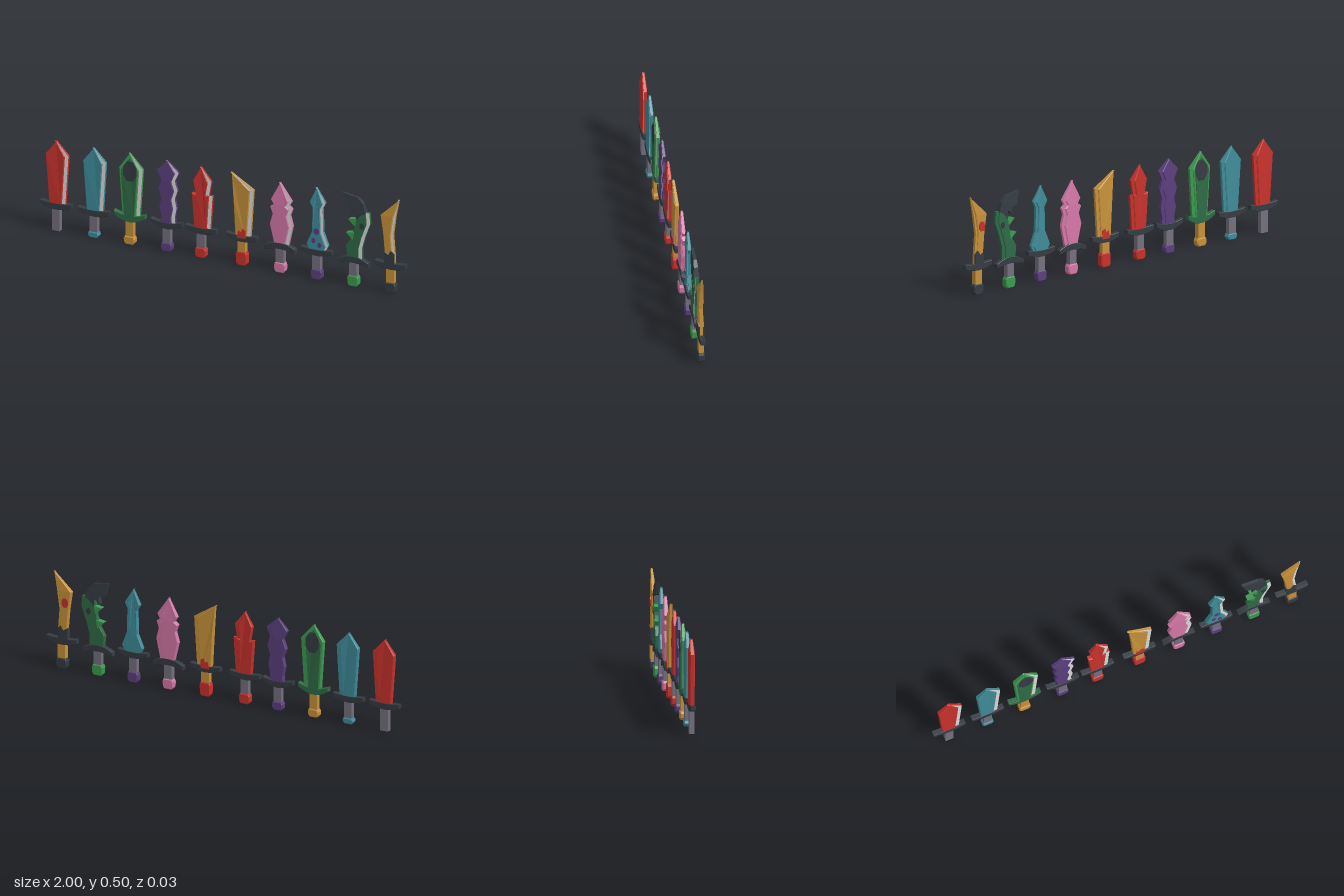
import * as THREE from 'three';

const mat = (name, color) => Object.assign(new THREE.MeshStandardMaterial({ color }), { name });
const M = {
  red: mat('red', 0xc8322c), teal: mat('teal', 0x3f8c99), green: mat('dark green', 0x2f6b45),
  lime: mat('bright green', 0x3c9a50), purple: mat('purple', 0x5a3f7d), gold: mat('gold', 0xc8923a),
  pink: mat('pink', 0xd678a8), dark: mat('charcoal', 0x343b42), grey: mat('grey', 0x74707e),
  white: mat('edge white', 0xdcdcdc),
};

const U = 0.01; // outlines are written in hundredths
const toShape = (pts) => new THREE.Shape(pts.map(([x, y]) => new THREE.Vector2(x * U, y * U)));

// Thin the blade towards its point
function taper(geo) {
  const p = geo.attributes.position;
  for (let i = 0; i < p.count; i++) {
    const t = Math.max(0, (p.getY(i) - 0.41) / 0.1);
    p.setZ(i, p.getZ(i) * (1 - 0.65 * t));
  }
  geo.computeVertexNormals();
  return geo;
}

// Plate of half thickness h, centred on z = 0, with an optional chamfer
function plate(name, pts, h, material, chamfer = 0) {
  const depth = 2 * (h - chamfer);
  const geo = new THREE.ExtrudeGeometry(toShape(pts), {
    depth, bevelEnabled: chamfer > 0, bevelSegments: 1,
    bevelThickness: chamfer, bevelSize: chamfer, bevelOffset: -chamfer,
  });
  geo.translate(0, 0, -depth / 2);
  const mesh = new THREE.Mesh(taper(geo), material);
  mesh.name = name;
  return mesh;
}

// Thin painted patch on one face of the blade (side 1 = front, -1 = back)
function patch(name, pts, side, material, lift = 0) {
  const geo = new THREE.ExtrudeGeometry(toShape(pts), { depth: 0.003, bevelEnabled: false });
  geo.translate(0, 0, side * (0.014 + lift) - 0.0015);
  const mesh = new THREE.Mesh(taper(geo), material);
  mesh.name = name;
  return mesh;
}

const blob = (x, y, rx, ry, n = 8) => Array.from({ length: n }, (_, i) => {
  const a = ((i + 0.5) / n) * Math.PI * 2;
  return [x + rx * Math.cos(a), y + ry * Math.sin(a)];
});

// Half profile [half width, height] from base to point, mirrored; the right side is slimmer
const mirror = (half, slim = 0.84) => ({
  left: half.map(([x, y]) => [-x, y]),
  right: half.filter(([x]) => x > 0).reverse().map(([x, y]) => [x * slim, y]),
});

// Crossguard bar whose ends rise (or droop) along a parabola and grow thinner
function crossguard(y, rise, material) {
  const side = (s) => Array.from({ length: 9 }, (_, i) => {
    const t = i / 4 - 1;
    return [8.5 * t, y + rise * t * t + s * (1.7 - 0.6 * t * t)];
  });
  return plate('crossguard', [...side(1), ...side(-1).reverse()], 0.0135, material, 0.002);
}

// One sword: left runs from base to point, right from below the point to base
function buildSword(name, x, color, { left, right }, o = {}) {
  const g = new THREE.Group();
  g.name = name;
  g.position.x = x;
  const { edge = 1.9, chamfer = 0.004, guardY = 14.6, rise = 1.2, guard = 'dark', grip = 'grey', pommel, pommelH } = o;

  // Blade body
  g.add(plate('blade', [...left, ...right], 0.0125, M[color], chamfer));

  // Thinner cutting edge along the right side, whitened on its front
  const tip = left[left.length - 1];
  const inner = [tip, ...right].map(([px, py]) => [px - 0.7, py]);
  const outer = [tip, ...right.map(([px, py]) => [px + edge, py + 0.4])];
  const strip = [...inner, ...outer.reverse()];
  g.add(plate('cuttingEdge', strip, 0.007, M[color]));
  const face = new THREE.Mesh(taper(new THREE.ShapeGeometry(toShape(strip)).translate(0, 0, 0.0078)), M.white);
  face.name = 'whiteEdge';
  g.add(face);

  // Crossguard and grip
  g.add(crossguard(guardY, rise, M[guard]));
  const base = pommel ? 2 : 0.5;
  const handle = new THREE.Mesh(new THREE.BoxGeometry(0.043, (guardY - base) * U, 0.025), M[grip]);
  handle.name = 'grip';
  handle.position.y = ((guardY + base) / 2) * U;
  g.add(handle);

  // Pommel, narrowed at the top and bottom
  if (pommel) {
    const t = 0.8 + pommelH;
    const p = mirror([[2, 0.6], [2.9, 1.8], [3, t - 1.2], [2.4, t]], 1);
    g.add(plate('pommel', [...p.left, ...p.right], 0.017, M[pommel], 0.004));
  }
  return g;
}

export function createModel() {
  const model = new THREE.Group();
  model.name = 'swordRow';
  const add = (...args) => {
    const sword = buildSword(...args);
    model.add(sword);
    return sword;
  };
  const bothSides = (sword, name, pts, material, lift) =>
    [1, -1].forEach((side) => sword.add(patch(name, pts, side, material, lift)));

  // Plain broadswords
  const broad = [[3.7, 14], [5.7, 40.4], [0, 47.8]];
  add('redBroadsword', -0.915, 'red', mirror(broad), { guardY: 13.3 });
  add('tealBroadsword', -0.71, 'teal', mirror(broad), { guardY: 13.3, pommel: 'teal', pommelH: 2.8 });

  // Green broadsword with a darker field and a charcoal patch
  const green = add('greenBroadsword', -0.513, 'lime', mirror([[3.8, 14], [5.7, 40.5], [0, 48.6]], 0.92),
    { guardY: 13.9, rise: 2.4, guard: 'green', grip: 'gold', pommel: 'gold', pommelH: 4 });
  const field = mirror([[2.7, 15], [4.4, 39.5], [0, 46]], 0.95);
  bothSides(green, 'bladeField', [...field.left, ...field.right], M.green);
  bothSides(green, 'darkPatch', blob(0.4, 39.3, 4, 5.6), M.dark, 0.001);

  // Purple blade with scalloped sides
  const waves = Array.from({ length: 7 }, (_, i) => [i % 2 ? 3 : 3.5 + 0.33 * i, 14 + 4.75 * i]);
  add('wavySword', -0.31, 'purple', mirror([...waves, [0, 48.4]]),
    { guardY: 13.9, rise: 2, pommel: 'purple', pommelH: 4.2 });

  // Red blade with a stepped shoulder
  add('steppedSword', -0.123, 'red', mirror([[3.5, 14], [5, 34], [2.8, 33.6], [4.2, 41], [0, 48.4]], 0.9),
    { pommel: 'red', pommelH: 5 });

  // Gold cleaver with a slanted top and a ragged red base
  const cleaver = add('goldCleaver', 0.1, 'gold',
    { left: [[-3.3, 14], [-4.4, 34], [-5.6, 48.6]], right: [[4.6, 40.8], [2.8, 14]] },
    { grip: 'gold', pommel: 'red', pommelH: 7 });
  bothSides(cleaver, 'redPatch', [[-2.4, 15], [-1.6, 19], [0, 18.2], [0.6, 20.2], [2.4, 19.4], [2.3, 15]], M.red);

  // Pink leaf-shaped blade
  add('leafSword', 0.31, 'pink',
    mirror([[2.8, 14], [5.6, 25.5], [4, 31], [5.4, 34.5], [3.4, 36], [5, 38.5], [0, 48]], 0.9),
    { rise: -1.8, pommel: 'pink', pommelH: 5 });

  // Slim teal blade with a flared base and purple spots
  const flared = add('flaredSword', 0.51, 'teal',
    mirror([[3, 14], [5.5, 18.7], [2.5, 25.5], [2.1, 38], [3.8, 41], [0, 49]], 0.9),
    { edge: 1.4, pommel: 'purple', pommelH: 5 });
  flared.add(patch('purpleSpot', blob(0.2, 26, 1.7, 1.8, 6), 1, M.purple));
  for (const s of [-1, 1]) flared.add(patch('purpleSpot', blob(0.2 + 1.6 * s, 20 - s, 1.2, 1.5, 6), 1, M.purple));

  // Green hooked blade: charcoal head, bright thorns on the left
  const hooked = add('hookedSword', 0.71, 'green',
    { left: [[-3, 14], [-3.8, 21.5], [-1.2, 25.6], [0.6, 31], [1.8, 40.2]],
      right: [[7, 40.2], [7.4, 34.5], [4.6, 27], [3, 21], [3, 14]] },
    { rise: -1.8, chamfer: 0.002, pommel: 'lime', pommelH: 5.4 });
  hooked.add(plate('hookHead', [[2.2, 36], [1.6, 40.2], [-1.2, 37.8], [-0.4, 41.2], [-4, 42.5], [-6, 49.2],
    [2.4, 47.8], [5.4, 45], [7, 40.2], [4, 38.5]], 0.0145, M.dark));
  for (const [px, py] of [[-3.6, 28.6], [-2.4, 35.8]]) {
    hooked.add(plate('thorn', [[px, py], [px + 4.4, py + 0.8], [px + 3.6, py - 3.4]], 0.0145, M.lime));
  }
  bothSides(hooked, 'darkSpot', blob(5, 33.2, 1.4, 1.8, 6), M.dark);

  // Gold sabre with a charcoal sleeve and a red spot on its back
  const sabre = add('curvedSabre', 0.914, 'gold',
    { left: [[-2.4, 14], [-4, 32], [-5.4, 41], [4.7, 50.4]], right: [[1.6, 41], [0.2, 31], [1, 21], [1.2, 14]] },
    { edge: 1.2, grip: 'gold', pommel: 'dark', pommelH: 5.2 });
  sabre.add(plate('bladeSleeve', [[-3.2, 14], [-3.4, 22], [-1, 20.6], [0.4, 23], [2.2, 21.4], [2.2, 14]], 0.0145, M.dark));
  sabre.add(patch('redSpot', blob(-2, 35, 2, 2.6), -1, M.red));
  return model;
}
